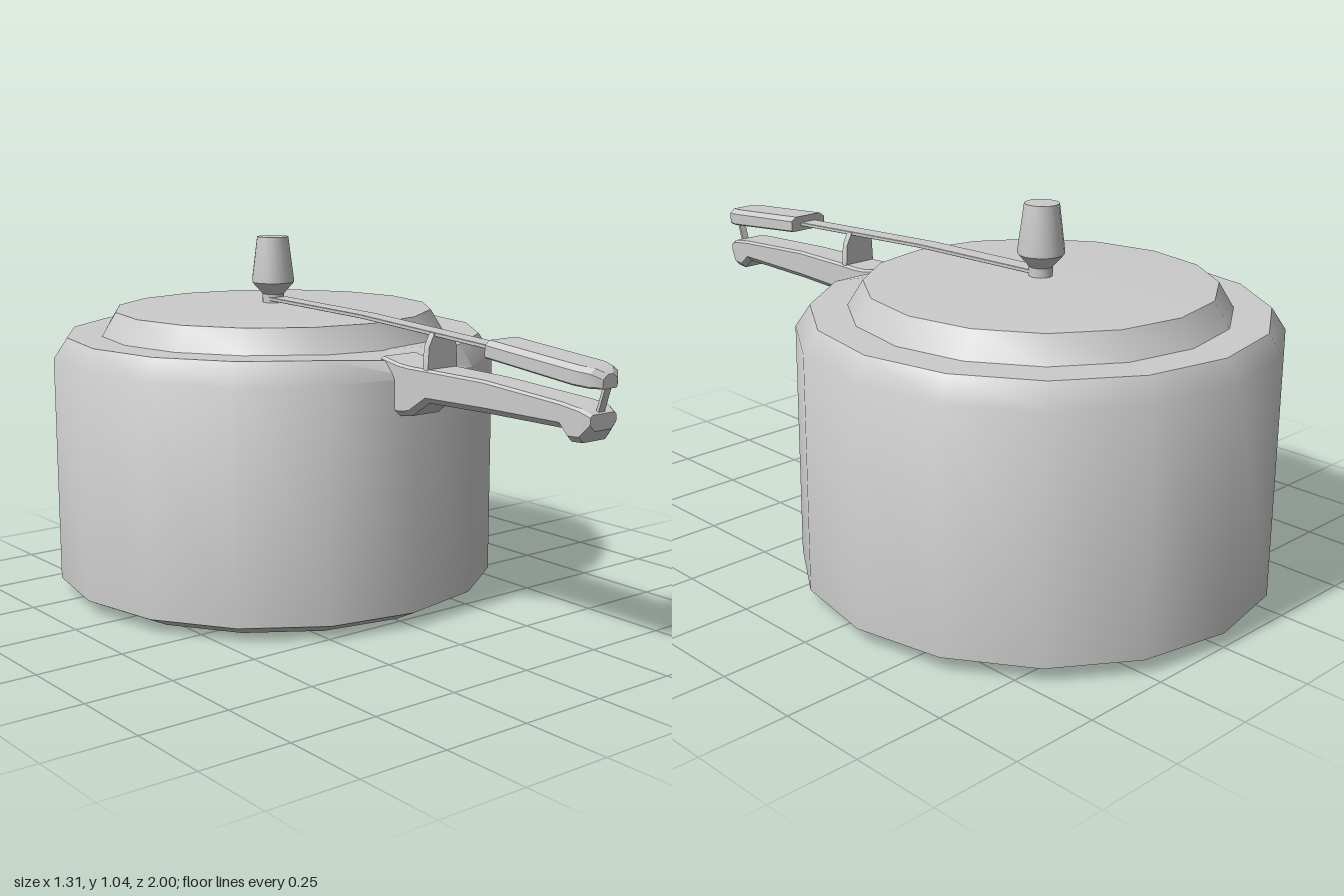
import * as THREE from 'three';
import { toCreasedNormals } from 'three/addons/utils/BufferGeometryUtils.js';

const material = new THREE.MeshStandardMaterial({ color: 0xcccccc, side: THREE.DoubleSide });
const POT_Z = -0.345;

function addMesh(parent, name, geometry, creaseDegrees) {
  const mesh = new THREE.Mesh(toCreasedNormals(geometry, THREE.MathUtils.degToRad(creaseDegrees)), material);
  mesh.name = name;
  parent.add(mesh);
  return mesh;
}

// Turned part from [radius, y] points, listed bottom to top.
function turned(points, segments = 16) {
  return new THREE.LatheGeometry(points.map(([r, y]) => new THREE.Vector2(r, y)), segments);
}

// Skin over sections [z, halfWidth, bottom, top]; chamfers are given for the lower and upper corners.
function loft(sections, low, high) {
  const positions = [];
  const index = [];
  for (const [z, w, bottom, top] of sections) {
    const half = [
      [w - low, bottom], [w, bottom + low],
      [w, top - high], [w - high * 1.4, top],
    ];
    for (const [x, y] of half) positions.push(x, y, z);
    for (const [x, y] of half.reverse()) positions.push(-x, y, z);
  }
  const n = 8;
  for (let s = 0; s < sections.length - 1; s++) {
    for (let k = 0; k < n; k++) {
      const a = s * n + k, b = s * n + (k + 1) % n;
      index.push(a, b, b + n, a, b + n, a + n);
    }
  }
  const last = (sections.length - 1) * n;
  for (let k = 1; k < n - 1; k++) {
    index.push(0, k + 1, k, last, last + k, last + k + 1);
  }
  const geometry = new THREE.BufferGeometry();
  geometry.setAttribute('position', new THREE.Float32BufferAttribute(positions, 3));
  geometry.setIndex(index);
  return geometry;
}

export function createModel() {
  const model = new THREE.Group();
  model.name = 'pressureCooker';

  // Pot: bevelled base, straight wall, softened shoulder
  const pot = new THREE.Group();
  pot.name = 'pot';
  pot.position.z = POT_Z;
  model.add(pot);
  addMesh(pot, 'base', turned([[0, 0], [0.58, 0.003], [0.655, 0.04]]), 25);

  const wall = turned([[0.655, 0.04], [0.655, 0.7], [0.615, 0.76], [0.5, 0.76]]);
  // The front corner of the rim dips to meet the handle
  const p = wall.attributes.position;
  for (let i = 0; i < p.count; i++) {
    if (p.getZ(i) > 0.61 && p.getY(i) > 0.75) p.setY(i, 0.743);
  }
  addMesh(pot, 'wall', wall, 40);

  // Lid with sloping edge and nearly flat top
  addMesh(pot, 'lid', turned([[0.515, 0.758], [0.472, 0.829], [0, 0.846]]), 30);

  // Pressure weight on its stem
  addMesh(pot, 'pressureWeight', turned([
    [0.032, 0.84], [0.032, 0.87], [0.063, 0.905], [0.063, 0.915], [0.047, 1.04], [0, 1.04],
  ]), 30);

  // Lower handle with a bracket foot and a nub at the end
  addMesh(model, 'lowerHandle', loft([
    [0.24, 0.065, 0.605, 0.757],
    [0.31, 0.065, 0.602, 0.745],
    [0.35, 0.062, 0.608, 0.742],
    [0.41, 0.056, 0.65, 0.741],
    [0.62, 0.05, 0.655, 0.74],
    [0.89, 0.054, 0.66, 0.725],
    [0.92, 0.056, 0.632, 0.722],
    [0.955, 0.054, 0.634, 0.717],
    [0.982, 0.045, 0.665, 0.705],
  ], 0.016, 0.006), 30);

  // Lever grip with a rounded end
  addMesh(model, 'leverGrip', loft([
    [0.64, 0.063, 0.8, 0.845],
    [0.94, 0.063, 0.772, 0.82],
    [0.98, 0.048, 0.768, 0.815],
    [1.0, 0.025, 0.767, 0.802],
  ], 0.004, 0.012), 30);

  // Flat lever strip over the lid
  addMesh(model, 'leverStrip', loft([
    [-0.345, 0.028, 0.852, 0.862],
    [0.1, 0.028, 0.843, 0.853],
    [0.66, 0.028, 0.814, 0.824],
  ], 0.001, 0.001), 30);

  // Tapered tab carrying the lever above the handle
  const tab = new THREE.Shape([
    new THREE.Vector2(-0.052, 0.735), new THREE.Vector2(0.052, 0.735),
    new THREE.Vector2(0.048, 0.80), new THREE.Vector2(0.03, 0.835),
    new THREE.Vector2(-0.03, 0.835), new THREE.Vector2(-0.048, 0.80),
  ]);
  const tabGeometry = new THREE.ExtrudeGeometry(tab, { depth: 0.02, bevelEnabled: false });
  addMesh(model, 'leverTab', tabGeometry, 30).position.z = 0.395;

  // Thin catch under the grip end
  const hook = new THREE.BoxGeometry(0.022, 0.085, 0.008);
  const catchMesh = addMesh(model, 'gripCatch', hook, 30);
  catchMesh.position.set(0, 0.742, 0.982);
  catchMesh.rotation.x = 0.3;

  return model;
}
